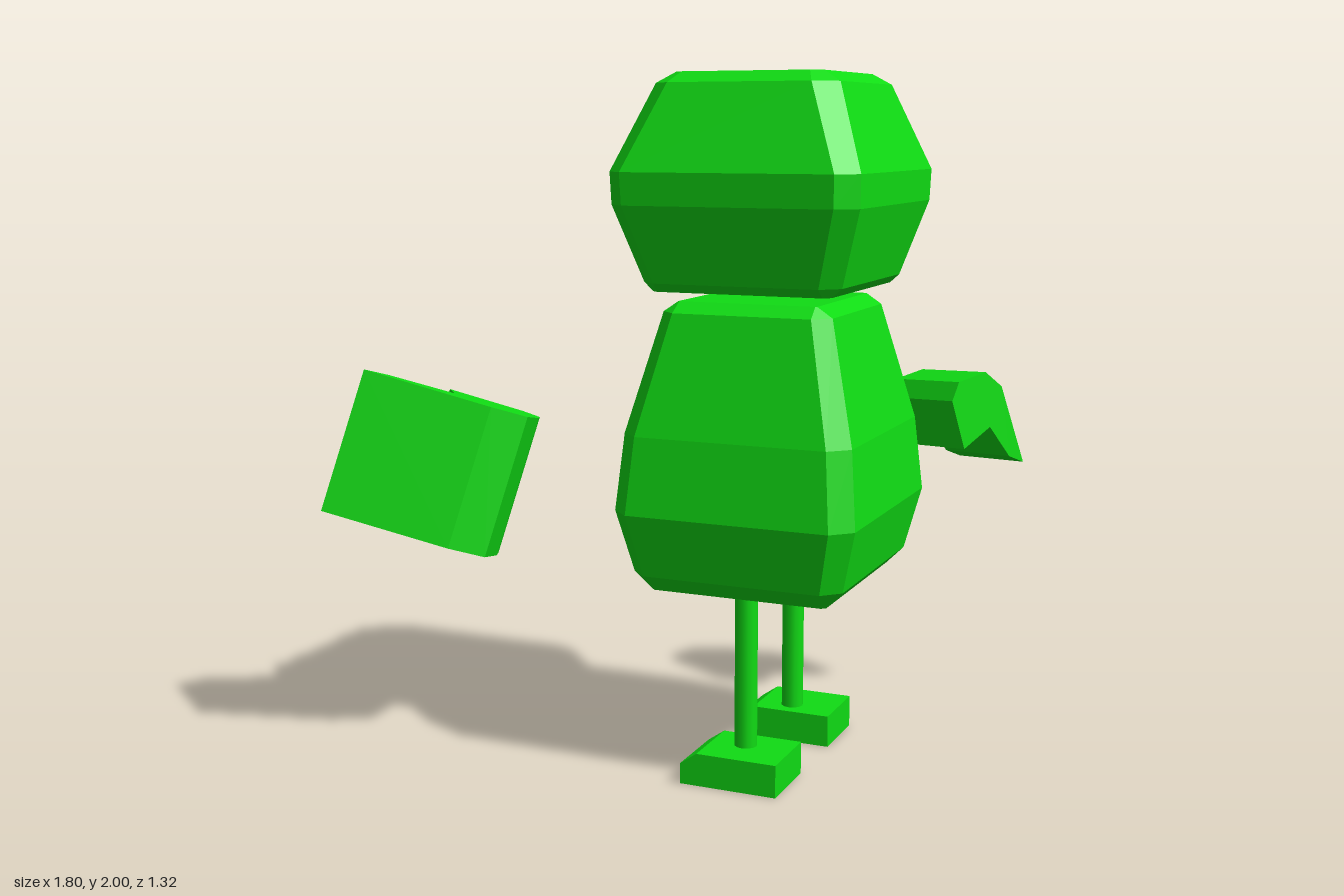
import * as THREE from 'three';

const green = new THREE.MeshStandardMaterial({ color: 0x10dc14, flatShading: true });
const greenSmooth = new THREE.MeshStandardMaterial({ color: 0x10dc14 });
const navy = new THREE.MeshStandardMaterial({ color: 0x0a0c3c, flatShading: true });

const CX = 0.315, CZ = 0.135; // vertical axis of the bird, which faces -x

function add(parent, name, geometry, material, x = 0, y = 0, z = 0) {
  const mesh = new THREE.Mesh(geometry, material);
  mesh.name = name;
  mesh.position.set(x, y, z);
  parent.add(mesh);
  return mesh;
}

// Stack of chamfered rectangles: [y, half width x, half width z, corner chamfer]
function loft(rings) {
  const pos = [], index = [];
  for (const [y, w, d, c] of rings) {
    const corners = [
      [w, c - d], [w - c, -d], [c - w, -d], [-w, c - d],
      [-w, d - c], [c - w, d], [w - c, d], [w, d - c],
    ];
    for (const [x, z] of corners) pos.push(x, y, z);
  }
  const last = (rings.length - 1) * 8;
  for (let r = 0; r < last; r += 8) {
    for (let i = 0; i < 8; i++) {
      const j = (i + 1) % 8;
      index.push(r + i, r + j, r + 8 + j, r + i, r + 8 + j, r + 8 + i);
    }
  }
  for (let i = 1; i < 7; i++) {
    index.push(0, i + 1, i, last, last + i, last + i + 1);
  }
  const g = new THREE.BufferGeometry();
  g.setAttribute('position', new THREE.Float32BufferAttribute(pos, 3));
  g.setIndex(index);
  const flat = g.toNonIndexed();
  flat.computeVertexNormals();
  return flat;
}

// Outline extruded by depth, then placed by a basis of u, v, depth vectors
function prism(points, u, v, w, origin) {
  const shape = new THREE.Shape(points.map(([a, b]) => new THREE.Vector2(a, b)));
  const g = new THREE.ExtrudeGeometry(shape, { depth: 1, bevelEnabled: false });
  const m = new THREE.Matrix4().makeBasis(
    new THREE.Vector3(...u), new THREE.Vector3(...v), new THREE.Vector3(...w));
  m.setPosition(...origin);
  g.applyMatrix4(m);
  g.computeVertexNormals();
  return g;
}

export function createModel() {
  const model = new THREE.Group();
  model.name = 'bird';

  // Pear-shaped body
  add(model, 'body', loft([
    [0.55, 0.262, 0.288, 0.012],
    [0.6, 0.312, 0.338, 0.05],
    [0.78, 0.356, 0.379, 0.057],
    [1.0, 0.336, 0.353, 0.055],
    [1.34, 0.25, 0.265, 0.046],
    [1.37, 0.205, 0.222, 0.004],
  ]), green, CX, 0, CZ);

  // Faceted head
  const head = new THREE.Group();
  head.name = 'head';
  model.add(head);
  add(head, 'skull', loft([
    [1.4, 0.262, 0.285, 0.02],
    [1.425, 0.29, 0.312, 0.05],
    [1.64, 0.358, 0.382, 0.055],
    [1.73, 0.361, 0.387, 0.055],
    [1.97, 0.267, 0.29, 0.06],
    [2.0, 0.215, 0.24, 0.03],
  ]), green, CX, 0, CZ);

  // Eyes tilted with the face, and a thin mouth
  for (const z of [-0.013, 0.272]) {
    const eye = add(head, 'eye', new THREE.BoxGeometry(0.038, 0.19, 0.065), navy, -0.033, 1.807, z);
    eye.rotation.z = -0.38;
  }
  add(head, 'mouth', new THREE.BoxGeometry(0.025, 0.028, 0.19), navy, -0.041, 1.664, 0.13);

  // Legs and feet with a chamfered toe
  const footOutline = [[0.16, 0], [0.45, 0], [0.45, 0.095], [0.21, 0.095], [0.16, 0.06]];
  for (const [legZ, footZ] of [[0.335, 0.25], [-0.053, -0.196]]) {
    add(model, 'leg', new THREE.CylinderGeometry(0.033, 0.033, 0.48, 12), greenSmooth, 0.312, 0.325, legZ);
    add(model, 'foot', prism(footOutline, [1, 0, 0], [0, 1, 0], [0, 0, 0.21], [0, 0, footZ]), green);
  }

  // Large hooked wing, outline in x and z
  add(model, 'largeWing', prism([
    [-0.81, 0.548], [-0.46, 0.42], [-0.382, 0.342], [-0.407, 0.228], [-0.44, 0.16],
    [-0.518, 0.126], [-0.736, 0.194], [-0.64, 0.324], [-0.794, 0.446],
  ], [1, -0.22, 0], [0, 0.244, 1], [-0.093, -0.41, 0.105], [0, 0.839, 0]), green);

  // Small hooked wing, outline in z and y
  add(model, 'smallWing', prism([
    [-0.535, 0.815], [-0.465, 1.06], [-0.405, 1.11], [-0.3, 1.09], [-0.27, 1.035],
    [-0.305, 0.885], [-0.41, 0.94], [-0.48, 0.84],
  ], [-0.54, 0, 1], [-0.083, 1, 0], [-0.235, -0.02, -0.128], [0.676, 0, 0]), green);

  return model;
}
